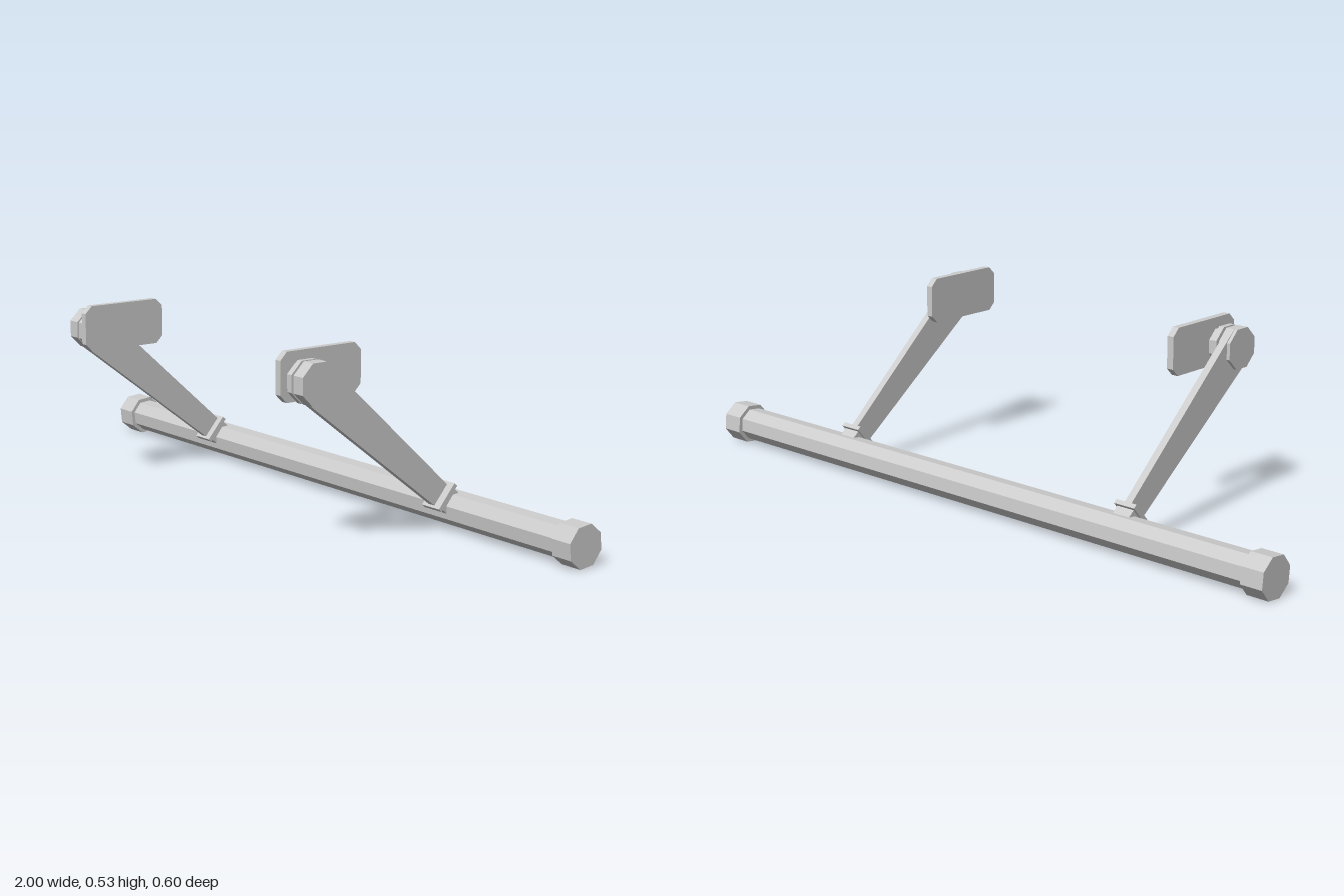
import * as THREE from 'three';

const material = new THREE.MeshStandardMaterial({ color: 0xcccccc, flatShading: true });

// Solid with a [z, y] outline, running along x from x0 to x1
function prism(name, points, x0, x1) {
  const shape = new THREE.Shape(points.map(([z, y]) => new THREE.Vector2(z, y)));
  const geometry = new THREE.ExtrudeGeometry(shape, { depth: Math.abs(x1 - x0), bevelEnabled: false });
  geometry.rotateY(-Math.PI / 2).translate(Math.max(x0, x1), 0, 0);
  const mesh = new THREE.Mesh(geometry, material);
  mesh.name = name;
  return mesh;
}

// Regular octagon with one flat facing the given angle
function octagon(z, y, radius, angle = 0) {
  return Array.from({ length: 8 }, (_, i) => {
    const a = angle + (i + 0.5) * Math.PI / 4;
    return [z + radius * Math.cos(a), y + radius * Math.sin(a)];
  });
}

// Rectangle whose sides follow the tilt of the arm
function tiltedBox(z, y, length, width, angle) {
  const c = Math.cos(angle), s = Math.sin(angle);
  return [[-1, -1], [1, -1], [1, 1], [-1, 1]].map(([u, v]) => [
    z + u * length / 2 * c - v * width / 2 * s,
    y + u * length / 2 * s + v * width / 2 * c,
  ]);
}

export function createModel() {
  const model = new THREE.Group();
  model.name = 'pivotingBar';
  const tilt = 0.68;
  const barZ = -0.242, barY = 0.058;
  const hubZ = 0.235, hubY = 0.455;

  // Long cross bar
  model.add(prism('crossBar', octagon(barZ, barY, 0.048, tilt), -0.96, 0.96));

  for (const [side, s] of [['left', 1], ['right', -1]]) {
    const group = new THREE.Group();
    group.name = side + 'Side';
    const add = (name, points, x0, x1) => group.add(prism(name, points, s * x0, s * x1));

    // Cap on the end of the bar
    add('endCap', octagon(barZ, barY, 0.0595, tilt), 0.935, 1);

    // Tapering arm from the pivot down to the bar
    add('arm', [[0.211, 0.51], [0.257, 0.4], [-0.175, 0.07], [-0.22, 0.12]].reverse(), 0.503, 0.525);

    // Foot joining the arm to the bar
    add('footFlange', tiltedBox(-0.196, 0.097, 0.013, 0.084, tilt + 0.03), 0.482, 0.548);
    add('footBlock', tiltedBox(-0.214, 0.081, 0.04, 0.066, tilt + 0.03), 0.488, 0.542);

    // Pivot: stacked discs on a thinner pin
    add('pivotDisc', octagon(hubZ, hubY, 0.0595), 0.498, 0.535);
    add('pivotWasher', octagon(hubZ, hubY, 0.0595), 0.474, 0.49);
    add('pivotPin', octagon(hubZ, hubY, 0.048), 0.45, 0.52);

    // Mounting plate with cut corners
    const z0 = 0.036, z1 = 0.3, y0 = 0.4, y1 = 0.531, c = 0.021;
    add('mountingPlate', [
      [z0 + c, y0], [z1 - c, y0], [z1, y0 + c], [z1, y1 - c],
      [z1 - c, y1], [z0 + c, y1], [z0, y1 - c], [z0, y0 + c],
    ], 0.438, 0.458);

    model.add(group);
  }
  return model;
}
